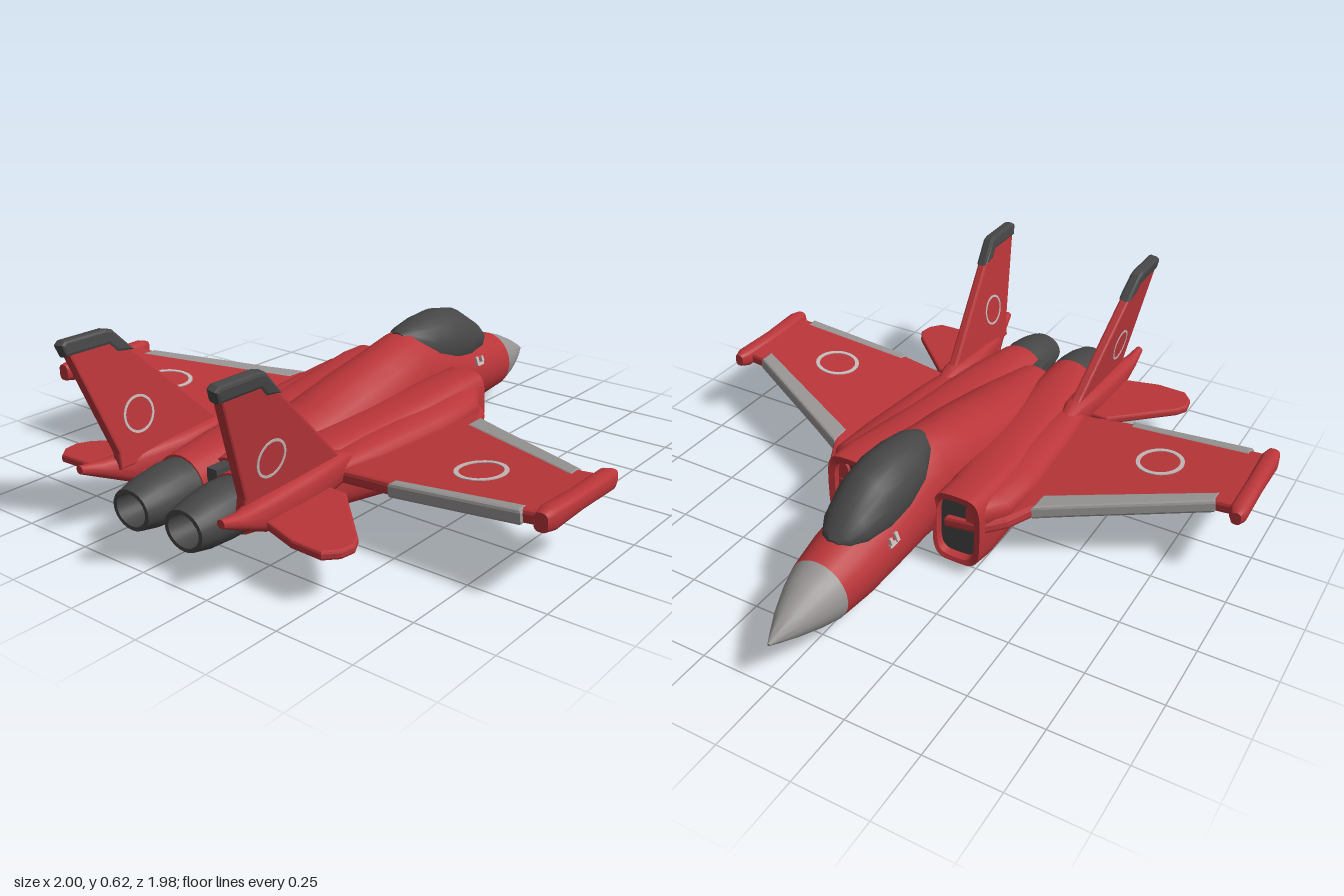
import * as THREE from 'three';
import { toCreasedNormals } from 'three/addons/utils/BufferGeometryUtils.js';

const material = (name, color) => {
  const m = new THREE.MeshStandardMaterial({ color });
  m.name = name;
  return m;
};

// Skin over superelliptic sections [x, yCentre, zCentre, yRadius, zRadius, power], listed from nose to tail
function loft(sections, n = 24, capFront = true, capRear = true) {
  const pos = [], idx = [];
  for (const [x, yc, zc, ry, rz, power = 2] of sections) {
    for (let j = 0; j < n; j++) {
      const a = (j / n) * Math.PI * 2, c = Math.cos(a), s = Math.sin(a);
      const e = 2 / power;
      pos.push(x, yc + ry * Math.sign(c) * Math.abs(c) ** e, zc + rz * Math.sign(s) * Math.abs(s) ** e);
    }
  }
  for (let i = 0; i < sections.length - 1; i++) {
    for (let j = 0; j < n; j++) {
      const a = i * n + j, b = i * n + ((j + 1) % n);
      idx.push(a, a + n, b, b, a + n, b + n);
    }
  }
  const cap = (i, front) => {
    const centre = pos.length / 3;
    pos.push(sections[i][0], sections[i][1], sections[i][2]);
    for (let j = 0; j < n; j++) {
      const a = i * n + j, b = i * n + ((j + 1) % n);
      idx.push(centre, front ? a : b, front ? b : a);
    }
  };
  if (capFront) cap(0, true);
  if (capRear) cap(sections.length - 1, false);
  const g = new THREE.BufferGeometry();
  g.setAttribute('position', new THREE.Float32BufferAttribute(pos, 3));
  g.setIndex(idx);
  return toCreasedNormals(g, 0.7);
}

// Flat panel from an outline in (x, span), centred on its own thickness
function panel(points, thick, bevel = 0) {
  const shape = new THREE.Shape(points.map(([x, y]) => new THREE.Vector2(x, y)));
  const g = new THREE.ExtrudeGeometry(shape, {
    depth: thick - 2 * bevel, bevelEnabled: bevel > 0, bevelSize: bevel,
    bevelThickness: bevel, bevelOffset: -bevel, bevelSegments: 2,
  });
  return g.translate(0, 0, -thick / 2 + bevel);
}

// Painted ring
function ring(x, y, outer, inner, thick) {
  const shape = new THREE.Shape().absarc(x, y, outer, 0, Math.PI * 2);
  shape.holes.push(new THREE.Path().absarc(x, y, inner, 0, Math.PI * 2, true));
  const g = new THREE.ExtrudeGeometry(shape, { depth: thick, bevelEnabled: false, curveSegments: 16 });
  return g.translate(0, 0, -thick / 2);
}

export function createModel() {
  const red = material('red paint', 0xb93539);
  const grey = material('grey paint', 0x989494);
  const dark = material('dark grey', 0x464646);
  const pale = material('pale marking', 0xc6b8b8);

  const model = new THREE.Group();
  model.name = 'jet';
  const add = (name, geometry, mat, parent = model) => {
    const mesh = new THREE.Mesh(geometry, mat);
    mesh.name = name;
    parent.add(mesh);
    return mesh;
  };

  // Nose cone, fuselage and canopy
  add('noseCone', loft([
    [0.995, 0.16, 0, 0.004, 0.004], [0.96, 0.163, 0, 0.023, 0.022], [0.9, 0.168, 0, 0.051, 0.052],
    [0.82, 0.173, 0, 0.084, 0.083], [0.75, 0.176, 0, 0.106, 0.103],
  ], 24, true, false), grey);
  add('fuselage', loft([
    [0.75, 0.176, 0, 0.106, 0.103], [0.62, 0.186, 0, 0.126, 0.118], [0.45, 0.2, 0, 0.14, 0.125],
    [0.3, 0.222, 0, 0.168, 0.127], [0.2, 0.232, 0, 0.186, 0.132], [0.05, 0.21, 0, 0.17, 0.145],
    [-0.1, 0.19, 0, 0.16, 0.15], [-0.28, 0.172, 0, 0.13, 0.15], [-0.48, 0.16, 0, 0.1, 0.13],
    [-0.65, 0.155, 0, 0.075, 0.08],
  ]), red);
  add('canopy', loft([
    [0.67, 0.3, 0, 0.006, 0.02], [0.65, 0.3, 0, 0.028, 0.052], [0.6, 0.305, 0, 0.067, 0.08],
    [0.5, 0.318, 0, 0.117, 0.1], [0.4, 0.33, 0, 0.124, 0.104], [0.3, 0.343, 0, 0.104, 0.096],
    [0.22, 0.375, 0, 0.058, 0.068], [0.18, 0.395, 0, 0.022, 0.03],
  ]), dark);
  add('tailFairing', new THREE.BoxGeometry(0.1, 0.05, 0.04).translate(-0.67, 0.195, 0), dark);

  for (const side of [1, -1]) {
    const tag = side > 0 ? 'left' : 'right';
    const half = new THREE.Group();
    half.name = tag + 'Side';
    model.add(half);
    const z = (v) => v * side;

    // Engine nacelle with a recessed intake
    add('nacelle', loft([
      [0.2, 0.16, z(0.19), 0.095, 0.06, 4], [0.29, 0.165, z(0.195), 0.11, 0.068, 4],
      [0.295, 0.17, z(0.2), 0.13, 0.085, 4], [0.2, 0.16, z(0.2), 0.14, 0.09, 3.5],
      [0, 0.145, z(0.178), 0.135, 0.107, 3.2], [-0.15, 0.135, z(0.165), 0.133, 0.11, 3],
      [-0.35, 0.142, z(0.15), 0.113, 0.108, 3], [-0.55, 0.147, z(0.13), 0.1, 0.108, 2.6],
      [-0.74, 0.148, z(0.11), 0.092, 0.098, 2],
    ], 28, false), red);
    add('intakeDuct', loft([
      [0.262, 0.162, z(0.192), 0.105, 0.066, 4], [0.2, 0.16, z(0.19), 0.1, 0.062, 4],
    ], 28), dark);

    // Exhaust nozzle with a hollow end
    add('nozzle', loft([
      [-0.72, 0.15, z(0.107), 0.084, 0.09], [-0.8, 0.148, z(0.107), 0.086, 0.092],
      [-0.88, 0.142, z(0.107), 0.077, 0.086], [-0.94, 0.138, z(0.107), 0.062, 0.074],
      [-0.94, 0.138, z(0.107), 0.05, 0.06], [-0.86, 0.14, z(0.107), 0.045, 0.055],
    ]), dark);

    // Boom carrying the tail surfaces
    add('tailBoom', loft([
      [-0.36, 0.215, z(0.25), 0.012, 0.015], [-0.46, 0.205, z(0.25), 0.05, 0.04, 3],
      [-0.62, 0.185, z(0.25), 0.06, 0.05, 3], [-0.8, 0.185, z(0.265), 0.05, 0.04, 3],
      [-0.9, 0.205, z(0.28), 0.026, 0.025], [-0.97, 0.225, z(0.285), 0.013, 0.014],
    ], 16), red);

    // Main wing, tilted up towards the tip
    const dihedral = 0.092;
    const wing = new THREE.Group();
    wing.name = tag + 'Wing';
    wing.position.y = 0.158;
    wing.rotation.x = side * (Math.PI / 2 - dihedral);
    half.add(wing);
    add('wingPanel', panel([
      [0.28, 0.15], [0.27, 0.28], [0.21, 0.34], [0.12, 0.385], [0.06, 0.48], [-0.14, 0.89],
      [-0.14, 0.96], [-0.47, 0.96], [-0.485, 0.5], [-0.47, 0.28], [-0.45, 0.15],
    ], 0.042, 0.012), red, wing);
    add('leadingEdgeStripe', panel([
      [0.128, 0.38], [0.07, 0.49], [-0.135, 0.89], [-0.195, 0.89], [0.045, 0.38],
    ], 0.046, 0.01), grey, wing);
    add('trailingEdgeStripe', panel([
      [-0.438, 0.9], [-0.485, 0.9], [-0.492, 0.47], [-0.452, 0.47],
    ], 0.046, 0.01), grey, wing);
    add('wingRing', ring(-0.283, 0.65, 0.08, 0.066, 0.006), pale, wing).position.z = -side * 0.021;

    // Wing root shoulder and wing tip pod
    add('wingRoot', loft([
      [0.27, 0.22, z(0.25), 0.05, 0.03], [0.18, 0.215, z(0.25), 0.058, 0.085],
      [0, 0.205, z(0.24), 0.055, 0.1], [-0.3, 0.2, z(0.24), 0.045, 0.075], [-0.48, 0.2, z(0.24), 0.03, 0.05],
    ], 20), red);
    add('wingTipPod', loft([
      [-0.1, 0.248, z(0.965), 0.022, 0.016, 3], [-0.13, 0.248, z(0.962), 0.031, 0.029, 3],
      [-0.3, 0.248, z(0.96), 0.029, 0.028, 3], [-0.45, 0.25, z(0.96), 0.035, 0.03, 3],
      [-0.49, 0.25, z(0.96), 0.028, 0.022, 3],
    ], 16), red);

    // Horizontal stabiliser
    const stabiliser = add('stabiliser', panel([
      [-0.53, 0.22], [-0.53, 0.35], [-0.72, 0.545], [-0.76, 0.567], [-0.81, 0.56],
      [-0.85, 0.525], [-0.85, 0.42], [-0.79, 0.22],
    ], 0.028, 0.008), red, half);
    stabiliser.position.y = 0.172;
    stabiliser.rotation.x = side * (Math.PI / 2 + 0.025);

    // Vertical fin leaning outwards, with a dark cap
    const fin = new THREE.Group();
    fin.name = tag + 'Fin';
    fin.position.set(0, 0.2, z(0.245));
    fin.rotation.x = side * 0.135;
    half.add(fin);
    add('finPanel', panel([
      [-0.4, 0], [-0.48, 0.07], [-0.755, 0.345], [-0.8, 0.36], [-0.83, 0.385], [-0.98, 0.385],
      [-0.86, 0.05], [-0.86, 0],
    ], 0.036, 0.008), red, fin);
    add('finCap', panel([
      [-0.745, 0.338], [-0.815, 0.415], [-0.84, 0.422], [-0.985, 0.422], [-1, 0.41],
      [-0.987, 0.373], [-0.835, 0.373], [-0.81, 0.345],
    ], 0.042, 0.01), dark, fin);
    add('finRing', ring(-0.768, 0.148, 0.058, 0.05, 0.04), pale, fin);

    // Small painted marks beside the cockpit
    for (const [x, y, w, h] of [[0.505, 0.255, 0.014, 0.03], [0.525, 0.24, 0.036, 0.012], [0.535, 0.257, 0.012, 0.02]]) {
      const mark = add('noseMark', new THREE.BoxGeometry(w, h, 0.008), pale, half);
      mark.position.set(x, y, z(0.116));
      mark.rotation.x = -side * 0.36;
    }
  }
  return model;
}
